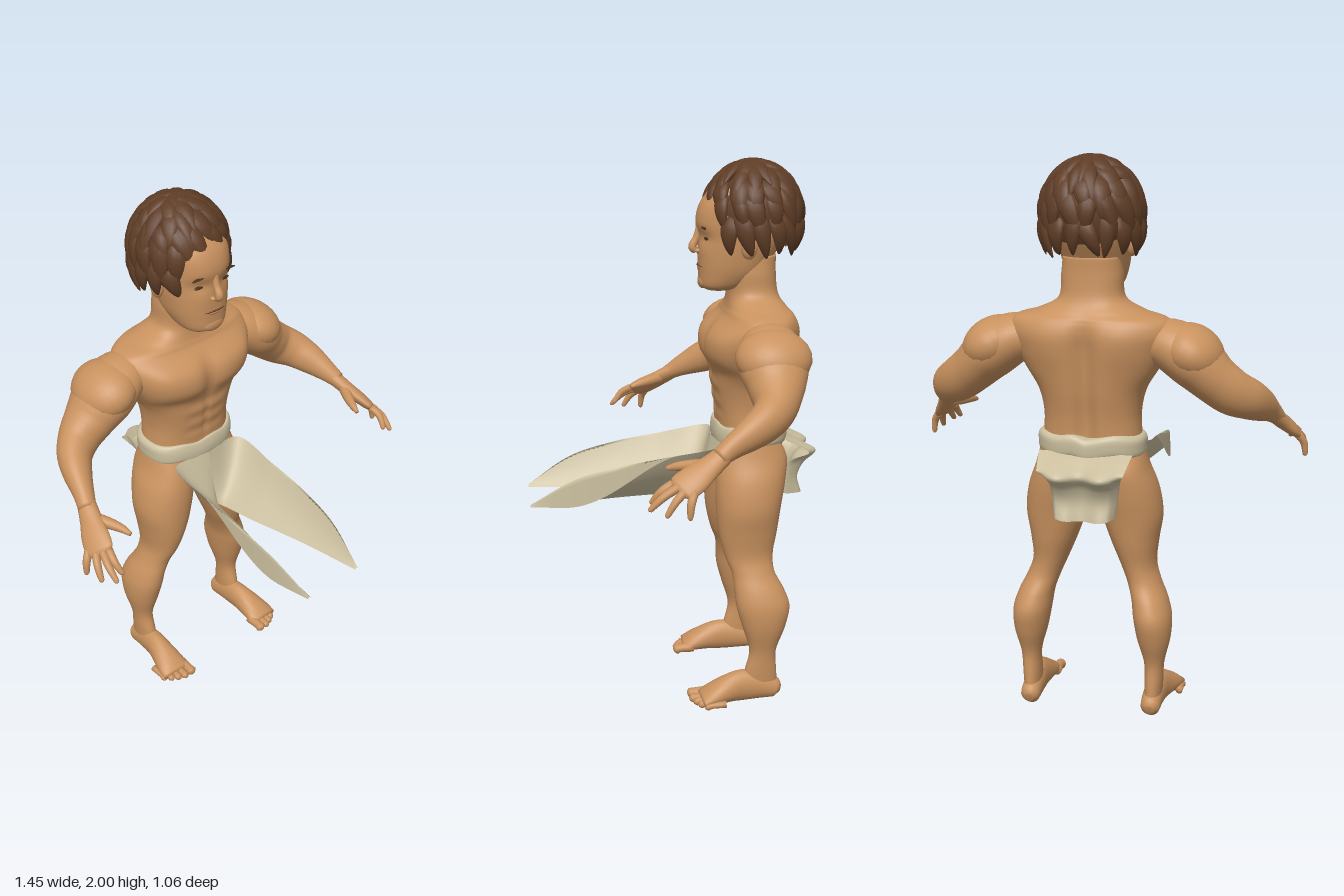
import * as THREE from 'three';
import { mergeGeometries } from 'three/addons/utils/BufferGeometryUtils.js';

const mat = (name, color, side = THREE.FrontSide) => {
  const m = new THREE.MeshStandardMaterial({ color, side });
  m.name = name;
  return m;
};
const V = (x, y, z) => new THREE.Vector3(x, y, z);
const bump = (d, width, power = 2) => Math.exp(-(Math.abs(d / width) ** power));

export function createModel() {
  const skin = mat('skin', 0xc9925f);
  const hair = mat('hair brown', 0x5f3d26);
  const cloth = mat('linen', 0xcbbf9f, THREE.DoubleSide);
  const dark = mat('dark brown', 0x4a2e1c);
  const lip = mat('lip', 0xb87d55);
  const model = new THREE.Group();

  const add = (name, geo, material) => {
    const m = new THREE.Mesh(geo, material);
    m.name = name;
    model.add(m);
    return m;
  };

  // closed skin over rings of points, each counterclockwise about the travel direction
  const loft = (rings) => {
    const n = rings[0].length, k = rings.length, pos = [], idx = [];
    rings.forEach(r => r.forEach(p => pos.push(p.x, p.y, p.z)));
    for (const r of [rings[0], rings[k - 1]]) {
      const c = r.reduce((a, p) => a.add(p), V(0, 0, 0)).divideScalar(n);
      pos.push(c.x, c.y, c.z);
    }
    for (let j = 0; j < n; j++) {
      const q = (j + 1) % n;
      for (let i = 0; i < k - 1; i++) {
        const a = i * n + j, b = i * n + q;
        idx.push(a, b, a + n, b, b + n, a + n);
      }
      idx.push(k * n, q, j, k * n + 1, (k - 1) * n + j, (k - 1) * n + q);
    }
    const g = new THREE.BufferGeometry();
    g.setAttribute('position', new THREE.Float32BufferAttribute(pos, 3));
    g.setIndex(idx);
    g.computeVertexNormals();
    return g;
  };

  // horizontal sections: [y, centreX, halfWidth, zFront, zBack]
  const column = (rows, power = 2, rule = p => p, n = 40, steps = 5) => {
    const cA = new THREE.CatmullRomCurve3(rows.map(r => V(r[1], r[0], r[2])));
    const cB = new THREE.CatmullRomCurve3(rows.map(r => V(r[3], r[0], r[4])));
    const total = (rows.length - 1) * steps, rings = [];
    const sq = v => Math.sign(v) * Math.abs(v) ** (2 / power);
    for (let i = 0; i <= total; i++) {
      const a = cA.getPoint(i / total), b = cB.getPoint(i / total), ring = [];
      for (let j = 0; j < n; j++) {
        const t = j / n * Math.PI * 2;
        ring.push(rule(V(a.x + a.z * sq(Math.sin(t)), a.y,
          (b.x + b.z) / 2 + (b.x - b.z) / 2 * sq(Math.cos(t)))));
      }
      rings.push(ring);
    }
    return loft(rings);
  };

  // sections along a path: [x, y, z, radius, flatRadius]
  const limb = (pts, s = 1, ref = V(0, 1, 0), n = 20, steps = 5) => {
    const path = new THREE.CatmullRomCurve3(pts.map(p => V(p[0] * s, p[1], p[2])));
    const rad = new THREE.CatmullRomCurve3(pts.map((p, i) => V(p[3], p[4] ?? p[3], i * 0.05)));
    const up = V(ref.x * s, ref.y, ref.z), total = (pts.length - 1) * steps, rings = [];
    for (let i = 0; i <= total; i++) {
      const t = i / total, c = path.getPoint(t), r = rad.getPoint(t), d = path.getTangent(t);
      const a = up.clone().cross(d).normalize(), b = d.clone().cross(a);
      rings.push(Array.from({ length: n }, (_, j) => {
        const w = j / n * Math.PI * 2;
        return c.clone().addScaledVector(a, r.x * Math.cos(w)).addScaledVector(b, r.y * Math.sin(w));
      }));
    }
    return loft(rings);
  };

  const blob = (name, x, y, z, rx, ry, rz, material = skin, tilt = 0) => {
    const m = add(name, new THREE.SphereGeometry(1, 24, 16), material);
    m.position.set(x, y, z);
    m.scale.set(rx, ry, rz);
    m.rotation.z = tilt;
  };

  // muscle relief of the torso: chest, abdomen grooves, shoulder blades, spine
  const relief = (p) => {
    const x = Math.abs(p.x), y = p.y;
    if (p.z > -0.25) {
      p.z += 0.032 * bump(x - 0.125, 0.115, 4) * bump(y - 1.34, 0.075, 4);
      const belly = bump(y - 1.16, 0.1, 6) * bump(x, 0.09, 6);
      p.z -= belly * (0.007 * bump(x, 0.012) + 0.004 * (0.5 + 0.5 * Math.cos((y - 1.1) * 100)));
    } else if (p.z < -0.34 && y < 1.5) {
      p.z += 0.03 * bump(x, 0.035) * bump(y - 1.2, 0.24, 6);
      p.z -= 0.012 * bump(x - 0.13, 0.08) * bump(y - 1.37, 0.08);
    }
    return p;
  };
  add('torso', column([
    [0.83, 0, 0.04, -0.24, -0.31], [0.88, 0, 0.14, -0.18, -0.39], [0.97, 0, 0.18, -0.17, -0.415],
    [1.05, 0, 0.172, -0.168, -0.415], [1.12, 0, 0.17, -0.16, -0.42], [1.20, 0, 0.187, -0.148, -0.432],
    [1.28, 0, 0.234, -0.145, -0.44], [1.35, 0, 0.272, -0.143, -0.445], [1.41, 0, 0.29, -0.163, -0.447],
    [1.45, 0, 0.272, -0.19, -0.435], [1.478, 0, 0.188, -0.2, -0.415], [1.52, 0, 0.115, -0.205, -0.39],
    [1.60, 0, 0.106, -0.2, -0.38], [1.66, 0, 0.1, -0.2, -0.38]], 2.4, relief, 120, 8), skin);

  // head, with shallow eye sockets
  add('head', column([
    [1.535, 0, 0.06, -0.125, -0.22], [1.55, 0, 0.082, -0.105, -0.27], [1.60, 0, 0.106, -0.1, -0.34],
    [1.66, 0, 0.118, -0.098, -0.375], [1.72, 0, 0.125, -0.098, -0.41], [1.78, 0, 0.129, -0.09, -0.43],
    [1.84, 0, 0.13, -0.105, -0.43], [1.90, 0, 0.115, -0.15, -0.42], [1.96, 0, 0.06, -0.22, -0.36]], 2.3, p => {
    if (p.z > -0.2) p.z -= 0.01 * bump(Math.abs(p.x) - 0.055, 0.035) * bump(p.y - 1.725, 0.025);
    return p;
  }, 64, 6), skin);
  add('nose', limb([[0, 1.77, -0.106, 0.013], [0, 1.72, -0.093, 0.013], [0, 1.686, -0.078, 0.016, 0.015],
    [0, 1.67, -0.09, 0.013, 0.011]], 1, V(0, 0, 1)), skin);
  blob('chin', 0, 1.563, -0.114, 0.045, 0.026, 0.016);
  blob('upperLip', 0, 1.627, -0.105, 0.032, 0.006, 0.008, lip);
  blob('lowerLip', 0, 1.613, -0.105, 0.028, 0.007, 0.009, lip);
  blob('mouthLine', 0, 1.62, -0.108, 0.046, 0.002, 0.013, dark);

  for (const s of [-1, 1]) {
    // face pairs
    blob('eye', s * 0.056, 1.722, -0.119, 0.022, 0.006, 0.007, dark);
    blob('eyebrow', s * 0.062, 1.762, -0.108, 0.036, 0.0035, 0.008, dark, -s * 0.1);
    blob('nostril', s * 0.015, 1.674, -0.097, 0.01, 0.008, 0.012);
    blob('ear', s * 0.13, 1.70, -0.26, 0.02, 0.045, 0.03);

    // shoulder
    blob('deltoid', s * 0.35, 1.348, -0.308, 0.115, 0.09, 0.134, skin, -s * 0.5);

    // arm
    add('arm', limb([[0.18, 1.385, -0.31, 0.07, 0.065], [0.28, 1.365, -0.31, 0.112, 0.09],
      [0.36, 1.315, -0.307, 0.122, 0.096], [0.425, 1.255, -0.303, 0.098, 0.085],
      [0.485, 1.208, -0.288, 0.075, 0.08], [0.535, 1.178, -0.25, 0.063, 0.072],
      [0.57, 1.146, -0.19, 0.052, 0.06], [0.597, 1.11, -0.122, 0.038, 0.042],
      [0.617, 1.08, -0.075, 0.032, 0.03]], s, V(0.35, 1, 0), 32), skin);

    // hand
    const palmUp = V(0.7, 0.7, 0.18);
    add('palm', limb([[0.604, 1.098, -0.105, 0.032, 0.03], [0.63, 1.055, -0.04, 0.042, 0.027],
      [0.652, 1.025, 0.01, 0.053, 0.024], [0.668, 1.0, 0.055, 0.052, 0.018],
      [0.673, 0.992, 0.068, 0.03, 0.01]], s, palmUp), skin);
    const tips = [[0.65, 0.95, 0.152], [0.68, 0.935, 0.16], [0.705, 0.92, 0.108], [0.715, 0.912, 0.035]];
    tips.forEach(([x, y, z], i) => {
      const b = [0.65 + i * 0.012, 1.012 - i * 0.007, 0.082 - i * 0.022];
      const mid = [(b[0] + x) / 2 + 0.008, (b[1] + y) / 2 + 0.008, (b[2] + z) / 2 + 0.004];
      add('finger', limb([[...b, 0.015], [...mid, 0.014], [x, y, z, 0.009], [x, y - 0.004, z + 0.003, 0.003]],
        s, palmUp, 10, 4), skin);
    });
    add('thumb', limb([[0.622, 1.06, -0.045, 0.024], [0.59, 1.052, 0.01, 0.02], [0.57, 1.045, 0.055, 0.015],
      [0.559, 1.036, 0.09, 0.008]], s, palmUp, 12, 4), skin);

    // leg
    add('leg', column([
      [1.00, 0.1, 0.085, -0.2, -0.38], [0.93, 0.11, 0.092, -0.168, -0.415], [0.85, 0.122, 0.11, -0.152, -0.41],
      [0.75, 0.138, 0.109, -0.15, -0.392], [0.65, 0.148, 0.085, -0.158, -0.377], [0.56, 0.163, 0.063, -0.18, -0.36],
      [0.50, 0.185, 0.06, -0.203, -0.364], [0.44, 0.209, 0.064, -0.21, -0.395], [0.38, 0.222, 0.068, -0.216, -0.415],
      [0.30, 0.228, 0.06, -0.238, -0.4], [0.20, 0.23, 0.036, -0.266, -0.366], [0.12, 0.228, 0.033, -0.25, -0.37],
      [0.05, 0.226, 0.03, -0.24, -0.375]].reverse().map(r => [r[0], r[1] * s, ...r.slice(2)]), 2.1), skin);

    // foot and toes
    add('foot', limb([[0.225, 0.036, -0.384, 0.016, 0.018], [0.225, 0.042, -0.368, 0.034, 0.038],
      [0.226, 0.058, -0.3, 0.038, 0.056], [0.23, 0.06, -0.225, 0.042, 0.06], [0.24, 0.038, -0.13, 0.06, 0.038],
      [0.243, 0.022, -0.082, 0.062, 0.02]], s), skin);
    for (let i = 0; i < 5; i++) {
      const x = [0.194, 0.226, 0.252, 0.276, 0.297][i], r = [0.02, 0.016, 0.015, 0.014, 0.013][i];
      const z = [-0.038, -0.04, -0.052, -0.067, -0.088][i];
      add('toe', limb([[x, r + 0.006, z - 0.08, r], [x, r + 0.004, z - 0.025, r * 0.88],
        [x, r, z - 0.01, r], [x, r * 0.8, z, r * 0.4]], s, V(0, 1, 0), 12, 3), skin);
    }
  }

  // open cloth surface from a point rule
  const sheet = (name, fn) => {
    const g = new THREE.PlaneGeometry(1, 1, 48, 24), p = g.attributes.position, uv = g.attributes.uv;
    for (let i = 0; i < p.count; i++) p.setXYZ(i, ...fn(uv.getX(i), uv.getY(i)));
    g.computeVertexNormals();
    add(name, g, cloth);
  };

  // rolled waistband, a little higher at the back, with a dip over the spine
  add('waistband', column([[0.972, 0, 0.172, -0.175, -0.41], [0.98, 0, 0.187, -0.158, -0.425],
    [1.01, 0, 0.191, -0.154, -0.43], [1.035, 0, 0.19, -0.158, -0.428], [1.048, 0, 0.18, -0.164, -0.418],
    [1.05, 0, 0.165, -0.18, -0.405]], 2.4, p => {
    p.y += -0.05 * (p.z + 0.28) + 0.004 * Math.sin(p.x * 45);
    if (p.z < -0.35) p.y -= 0.014 * bump(p.x, 0.03);
    return p;
  }, 64), cloth);

  // front cloth, split into two halves blown forward, each with a hem turned down outside
  const lower = new THREE.CatmullRomCurve3([V(0, 0.765, -0.1), V(0.01, 0.765, -0.06), V(0.03, 0.767, 0.07),
    V(0.056, 0.77, 0.2), V(0.082, 0.77, 0.33), V(0.112, 0.77, 0.53)]);
  const upper = new THREE.CatmullRomCurve3([V(0, 0.985, -0.15), V(0.155, 0.98, -0.158), V(0.164, 0.95, 0.03),
    V(0.162, 0.922, 0.2), V(0.15, 0.875, 0.37), V(0.122, 0.778, 0.53)]);
  for (const s of [-1, 1]) sheet('frontCloth', (u, v) => {
    const top = upper.getPoint(u), w = Math.min(v / 0.75, 1);
    const p = lower.getPoint(u).lerp(top, w);
    const sag = Math.sin(w * Math.PI) * Math.sin(u * Math.PI);
    const hem = Math.max(0, v - 0.75) * 4 * THREE.MathUtils.smoothstep(u, 0.35, 0.85);
    return [s * (p.x + 0.01 * sag + 0.004 * hem), p.y - 0.004 * sag - (top.y - 0.77) * hem, p.z];
  });

  // back cloth, bulging below the band, folded, its sides turned in toward the hips
  const drape = new THREE.CatmullRomCurve3([V(0, 0.995, -0.405), V(0, 0.965, -0.48), V(0, 0.93, -0.535),
    V(0, 0.885, -0.49), V(0, 0.83, -0.468), V(0, 0.765, -0.485)]);
  sheet('backCloth', (u, v) => {
    const k = u * 2 - 1, t = 1 - v, p = drape.getPoint(t);
    const turn = THREE.MathUtils.smoothstep(Math.abs(k), 0.72, 1) * THREE.MathUtils.smoothstep(t, 0.35, 0.6);
    const fold = (0.72 + 0.28 * Math.sin(k * Math.PI) ** 2) * (1 - turn);
    const x = Math.sign(k) * Math.min(Math.abs(k), 0.85 + 0.15 * (1 - turn)) * (0.165 - 0.04 * t);
    return [x, p.y + 0.012 * t * k * k, -0.405 + (p.z + 0.405) * fold];
  });

  // hair cap tilted back off the forehead
  const cap = add('hairCap', new THREE.SphereGeometry(1, 32, 20, 0, Math.PI * 2, 0, 1.75), hair);
  cap.scale.set(0.165, 0.18, 0.17);
  cap.position.set(0, 1.80, -0.295);
  cap.rotation.x = -0.35;

  // overlapping leaf-shaped locks in rows around the crown
  let seed = 7;
  const rnd = () => (seed = (seed * 16807) % 2147483647) / 2147483647 - 0.5;
  const lockGeo = (w, l, d) => {
    const g = new THREE.SphereGeometry(1, 10, 12), p = g.attributes.position;
    for (let i = 0; i < p.count; i++) {
      const y = p.getY(i), taper = 0.8 + 0.35 * y;
      p.setXYZ(i, p.getX(i) * w * taper, y * l, p.getZ(i) * d * taper - 0.02 * y * y - 0.006 * y);
    }
    g.computeVertexNormals();
    return g;
  };
  // row: [angle from crown, count, limit toward the face, half length]
  const rows = [[0.15, 5, 2, 0.07], [0.45, 9, 2, 0.08], [0.8, 13, 2, 0.08], [1.12, 15, 2, 0.08],
    [1.45, 17, 0.8, 0.085], [1.86, 18, 0.7, 0.08]];
  const locks = [];
  rows.forEach(([theta, n, frontLimit, length], row) => {
    for (let i = 0; i < n; i++) {
      const a = (i + (row % 2) / 2 + rnd() * 0.3) / n * Math.PI * 2;
      if (Math.cos(a) > frontLimit) continue;
      const th = theta + rnd() * 0.08, sn = th > 1.57 ? 1 : Math.sin(th), cs = Math.cos(th);
      const out = V(Math.sin(a), 0, Math.cos(a));
      const pos = V(0.17 * sn * out.x, 1.80 + 0.182 * cs, -0.295 + 0.174 * sn * out.z);
      const normal = out.clone().multiplyScalar(sn).add(V(0, Math.max(cs, 0), 0)).normalize();
      const side = V(0, 1, 0).cross(out).normalize();
      const m = new THREE.Matrix4().makeBasis(side, normal.clone().cross(side), normal).setPosition(pos);
      const g = lockGeo(0.038 + rnd() * 0.01, length + rnd() * 0.025, 0.021);
      locks.push(g.rotateZ(0.18 + rnd() * 0.55).applyMatrix4(m));
    }
  });
  add('hairLocks', mergeGeometries(locks), hair);

  return model;
}
